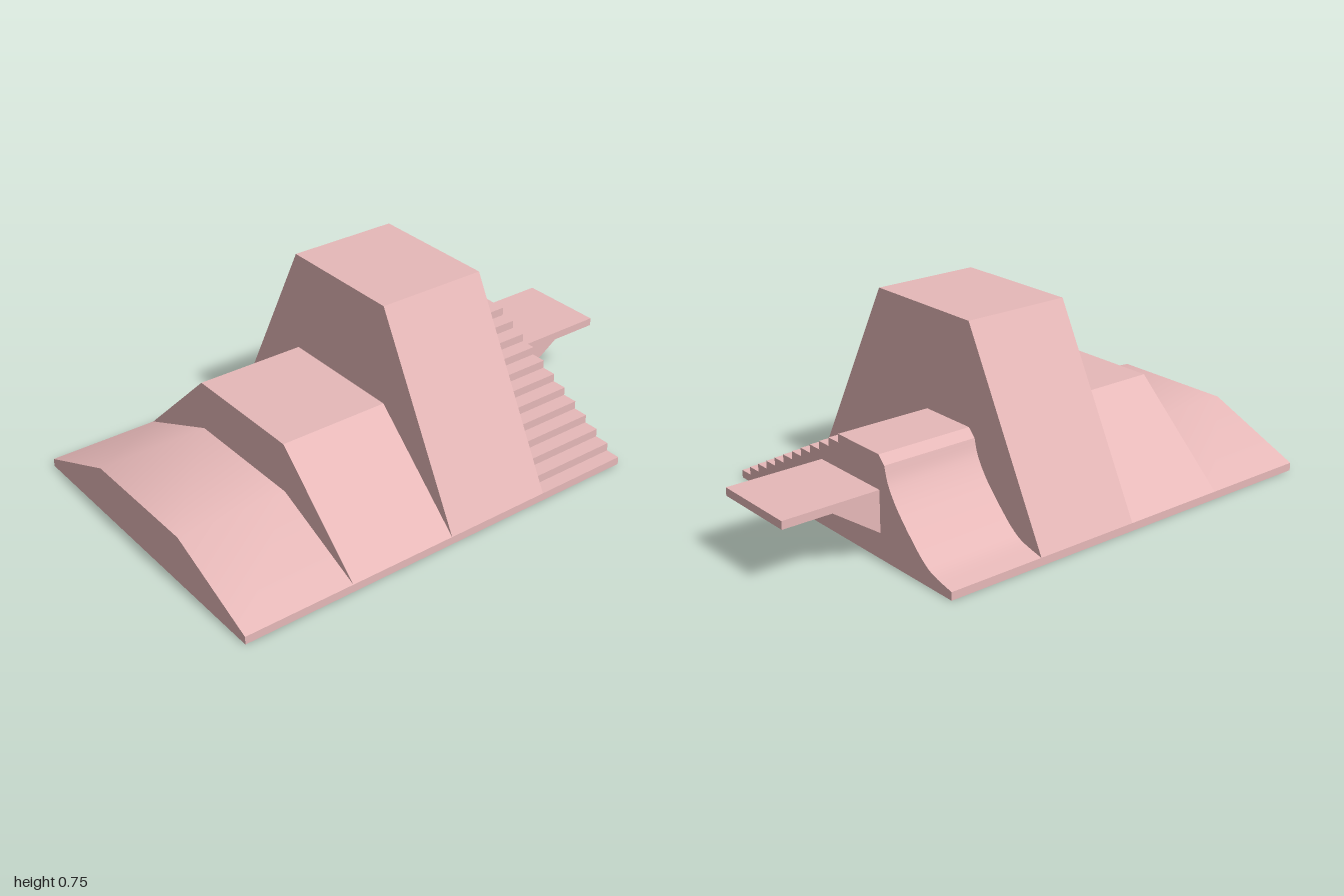
import * as THREE from 'three';
import { toCreasedNormals } from 'three/addons/utils/BufferGeometryUtils.js';

const DEPTH = 0.625; // half depth of the base
const LIP = 0.03; // height of the vertical rim round the base

export function createModel() {
  const model = new THREE.Group();
  const material = new THREE.MeshStandardMaterial({ color: 0xe6b8b8, side: THREE.DoubleSide });

  function add(parent, name, geometry) {
    const mesh = new THREE.Mesh(geometry, material);
    mesh.name = name;
    parent.add(mesh);
  }

  // Open skin: a profile of [u, v] points swept from w0 to w1
  function skin(profile, w0, w1) {
    const position = [], index = [];
    profile.forEach(([u, v], i) => {
      position.push(u, v, w0, u, v, w1);
      if (i > 0) {
        const a = 2 * i - 2;
        index.push(a, a + 1, a + 3, a, a + 3, a + 2);
      }
    });
    const geometry = new THREE.BufferGeometry();
    geometry.setAttribute('position', new THREE.Float32BufferAttribute(position, 3));
    geometry.setIndex(index);
    return toCreasedNormals(geometry, 0.4);
  }

  // Flat wall filling an outline at w, facing +w or -w
  function wall(outline, w, facing, hole) {
    const toPoints = (list) => list.map(([u, v]) => new THREE.Vector2(u, v));
    const shape = new THREE.Shape(toPoints(outline));
    if (hole) shape.holes.push(new THREE.Path(toPoints(hole)));
    const geometry = new THREE.ShapeGeometry(shape);
    if (facing < 0) geometry.index.array.reverse();
    geometry.translate(0, 0, w);
    geometry.computeVertexNormals();
    return geometry;
  }

  // Profiles run from the front foot over the top to the back foot (u = -z)
  const withFeet = (points) => [
    [-DEPTH, 0], [-DEPTH, LIP], ...points, [DEPTH, LIP], [DEPTH, 0],
  ];
  const ramp = (height) => withFeet([[-0.25, height], [0.25, height]]);

  const low = ramp(0.1875);
  const middle = ramp(0.375);
  const tower = ramp(0.75);

  // Stairs up the front, platform, then a curved slide down the back
  const steps = 11, rise = (0.375 - LIP) / steps, run = 0.0588;
  const stairPoints = [];
  for (let i = 0; i < steps; i++) {
    const u = -0.568 + i * run;
    stairPoints.push([u, LIP + i * rise], [u, LIP + (i + 1) * rise]);
  }
  const slideCurve = new THREE.SplineCurve([
    [0.28, 0.345], [0.296, 0.29], [0.33, 0.233], [0.375, 0.18],
    [0.425, 0.13], [0.475, 0.085], [0.53, 0.053], [DEPTH, LIP],
  ].map(([u, v]) => new THREE.Vector2(u, v)));
  const slidePoints = slideCurve.getPoints(28).slice(0, -1).map((p) => [p.x, p.y]);
  const stairs = withFeet([...stairPoints, [0.25, 0.375], ...slidePoints]);

  // Body: four hollow sections side by side, open underneath
  const body = new THREE.Group();
  body.name = 'body';
  body.rotation.y = Math.PI / 2;
  model.add(body);

  const x = [-1, -0.583, -0.167, 0.25, 0.625];
  add(body, 'lowRamp', skin(low, x[0], x[1]));
  add(body, 'middleRamp', skin(middle, x[1], x[2]));
  add(body, 'tower', skin(tower, x[2], x[3]));
  add(body, 'stairsAndSlide', skin(stairs, x[3], x[4]));

  // Walls between sections cover only the part rising above the neighbour
  const between = (tall, short) => [...tall.slice(1, -1), ...short.slice(2, -2).reverse()];
  add(body, 'middleRampWall', wall(between(middle, low), x[1], -1));
  add(body, 'towerRightWall', wall(between(tower, middle), x[2], -1));
  add(body, 'towerLeftWall', wall(between(tower, stairs), x[3], 1));
  add(body, 'lowRampEndWall', wall(low, x[0], -1));

  // Side ledge on a sloped brace, opening into the stair section
  const z0 = -0.25, z1 = 0.085;
  const opening = [[-z1, 0.095], [-z0, 0.095], [-z0, 0.25], [-z1, 0.25]];
  add(body, 'stairEndWall', wall(stairs, x[4], 1, opening));

  const ledge = new THREE.Group();
  ledge.name = 'ledge';
  model.add(ledge);
  const ledgeProfile = [[x[4], 0.25], [1, 0.25], [1, 0.22], [0.81, 0.22], [x[4], 0.095]];
  add(ledge, 'ledgeSkin', skin(ledgeProfile, z0, z1));
  add(ledge, 'ledgeBackWall', wall(ledgeProfile, z0, -1));
  add(ledge, 'ledgeFrontWall', wall(ledgeProfile, z1, 1));

  return model;
}
